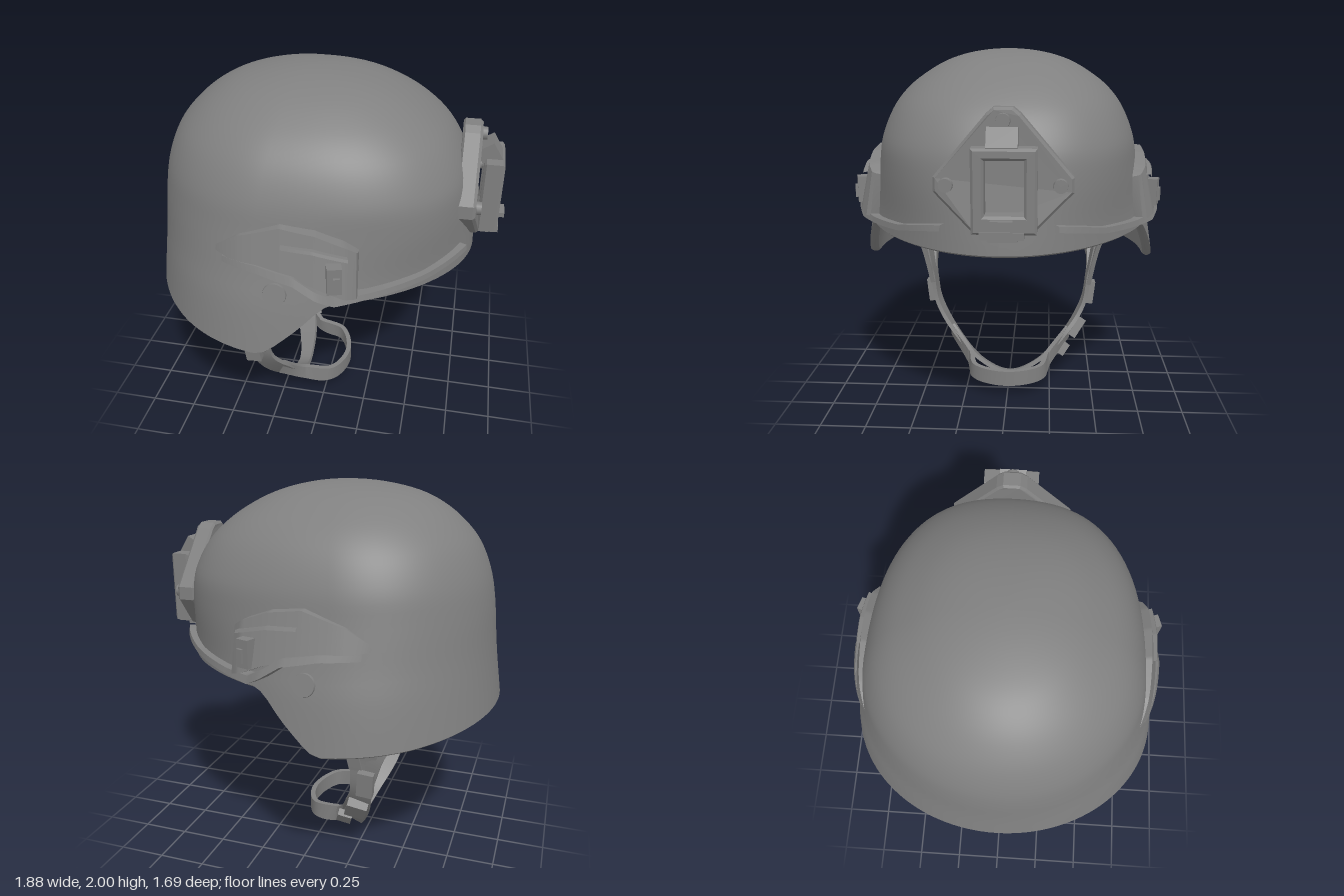
import * as THREE from 'three';
import { toCreasedNormals } from 'three/addons/utils/BufferGeometryUtils.js';

const grey = new THREE.MeshStandardMaterial({ color: 0x808080 });
grey.name = 'matte grey';
const V = (x, y, z) => new THREE.Vector3(x, y, z);

// Shell profile: height, back x, front x, half width, x of widest point
const profile = [
  [2.0, -0.1, -0.1, 0, -0.1], [1.98, -0.32, 0.13, 0.2, -0.11], [1.94, -0.48, 0.28, 0.33, -0.13],
  [1.88, -0.6, 0.41, 0.44, -0.15], [1.8, -0.7, 0.53, 0.545, -0.17], [1.7, -0.785, 0.635, 0.625, -0.19],
  [1.55, -0.85, 0.72, 0.69, -0.21], [1.4, -0.88, 0.755, 0.72, -0.22], [1.2, -0.9, 0.78, 0.765, -0.22],
  [1.07, -0.915, 0.79, 0.8, -0.22], [0.78, -0.955, 0.795, 0.85, -0.22]];

// Smooth interpolation of the profile; the root keeps the crown round
function section(y) {
  const t = p => Math.sqrt(Math.max(0, 2 - p));
  const u = t(y), n = profile.length - 1;
  let i = 0;
  while (i < n - 1 && u > t(profile[i + 1][0])) i++;
  const slope = (j, k) => {
    const a = Math.max(0, j - 1), b = Math.min(n, j + 1);
    return (profile[b][k] - profile[a][k]) / (t(profile[b][0]) - t(profile[a][0]));
  };
  const u0 = t(profile[i][0]), h = t(profile[i + 1][0]) - u0, s = (u - u0) / h;
  return [1, 2, 3, 4].map(k => {
    const p = profile[i][k], q = profile[i + 1][k];
    return p * (1 + 2 * s) * (1 - s) ** 2 + slope(i, k) * h * s * (1 - s) ** 2
      + q * s * s * (3 - 2 * s) + slope(i + 1, k) * h * s * s * (s - 1);
  });
}

// Front quarters are drawn in at the brim and full at the shoulder
function fullness(c, y) {
  const k = THREE.MathUtils.lerp(-0.03, 0.07, THREE.MathUtils.smoothstep(y, 1, 1.55));
  return c > 0 ? 1 + k * 4 * c * c * (1 - c * c) : 1;
}
// Point on the shell at an angle and height, pushed out by off or scaled
function shellPoint(angle, y, off = 0, scale = 1) {
  const [xb, xf, w, cx] = section(y), c = Math.cos(angle), s = Math.sin(angle);
  const a = c > 0 ? xf - cx : cx - xb, f = fullness(c, y) * scale;
  const n = V(c * w, 0, s * a).normalize();
  return V(cx + a * c * f + n.x * off, y, w * s * f + n.z * off);
}
function angleAt(x, y) {
  const [xb, xf, , cx] = section(y);
  const t = (x - cx) / (x > cx ? xf - cx : cx - xb);
  let c = THREE.MathUtils.clamp(t, -1, 1);
  for (let i = 0; i < 8; i++) c = THREE.MathUtils.clamp(t / fullness(c, y), -1, 1);
  return Math.acos(c);
}

// Linear lookup in a list of rows sorted by their first value
function lookup(rows, x) {
  let i = 0;
  while (i < rows.length - 2 && x > rows[i + 1][0]) i++;
  const s = THREE.MathUtils.clamp((x - rows[i][0]) / (rows[i + 1][0] - rows[i][0]), 0, 1);
  return rows[i].map((p, k) => p + (rows[i + 1][k] - p) * s);
}

// Sheet of nu by nv cells from a point function
function grid(fn, nu, nv, flip) {
  const pos = [], idx = [];
  for (let i = 0; i <= nu; i++) for (let j = 0; j <= nv; j++) pos.push(...fn(i / nu, j / nv).toArray());
  for (let i = 0; i < nu; i++) for (let j = 0; j < nv; j++) {
    const a = i * (nv + 1) + j, b = a + nv + 1;
    if (flip) idx.push(a, a + 1, b, b, a + 1, b + 1);
    else idx.push(a, b, a + 1, b, b + 1, a + 1);
  }
  const g = new THREE.BufferGeometry();
  g.setAttribute('position', new THREE.Float32BufferAttribute(pos, 3));
  g.setIndex(idx);
  g.computeVertexNormals();
  return g;
}

// Raised band on one side of the shell; columns are x, bottom, top, offset
function raisedBand(cols, side, topFactor) {
  const x0 = cols[0][0], x1 = cols[cols.length - 1][0];
  const fn = (u, v) => {
    const [x, lo, hi, off] = lookup(cols, x0 + (x1 - x0) * u);
    const k = Math.round(v * 3);
    const y = [lo, lo + 0.01, hi - 0.03 * (hi - lo), hi][k];
    const o = [-0.03, off, off * topFactor, -0.03][k];
    const p = shellPoint(angleAt(x, y), y, o);
    p.z *= side;
    return p;
  };
  return toCreasedNormals(grid(fn, 60, 3, side < 0), 0.6);
}

// Flat webbing along a path; rows are x, y, z and the half-width vector
function webbing(rows, steps = 40, thick = 0.012) {
  const path = new THREE.CatmullRomCurve3(rows.map(r => V(r[0], r[1], r[2])));
  const half = new THREE.CatmullRomCurve3(rows.map(r => V(r[3], r[4], r[5])));
  const fn = (u, v) => {
    const h = half.getPoint(u), n = path.getTangent(u).cross(h).normalize().multiplyScalar(thick);
    const k = Math.round(v * 4) % 4;
    return path.getPoint(u).addScaledVector(h, k === 0 || k === 3 ? 1 : -1).addScaledVector(n, k < 2 ? 1 : -1);
  };
  return toCreasedNormals(grid(fn, steps, 4, true), 0.7);
}
// Complete a half path across the middle, ending on z = 0
const across = rows => [...rows, ...rows.slice(0, -1).reverse().map(r => [r[0], r[1], -r[2], r[3], r[4], -r[5]])];

// Outline in (side, y) extruded forwards along x
function frontPlate(points, depth, x, hole) {
  const shape = new THREE.Shape(points.map(p => new THREE.Vector2(...p)));
  if (hole) shape.holes.push(new THREE.Path(hole.map(p => new THREE.Vector2(...p))));
  return new THREE.ExtrudeGeometry(shape, { depth, bevelSize: 0.012, bevelThickness: 0.012, bevelSegments: 1 })
    .rotateY(Math.PI / 2).translate(x, 0, 0);
}
const rect = (w, lo, hi) => [[-w, lo], [w, lo], [w, hi], [-w, hi]];

export function createModel() {
  const model = new THREE.Group();
  const add = (name, geometry, parent = model) => {
    const m = new THREE.Mesh(geometry, grey);
    m.name = name;
    parent.add(m);
    return m;
  };
  const box = (name, parent, size, at, rot = [0, 0, 0]) => {
    const m = add(name, new THREE.BoxGeometry(...size), parent);
    m.position.set(...at);
    m.rotation.set(...rot);
  };

  // Shell: outer skin, inner skin and rounded rim above the cut edge
  const edge = [[-0.95, 0.885], [-0.6, 0.84], [-0.22, 0.805], [-0.16, 0.82], [0, 0.955], [0.1, 1.055], [0.16, 1.075], [0.8, 1.068]];
  const rimY = a => lookup(edge, shellPoint(a, 1).x)[1];
  const rise = (lo, v) => 2 - (2 - lo) * (1 - v) ** 2;
  const turn = Math.PI * 2;
  add('shellOuter', grid((u, v) => shellPoint(u * turn, rise(rimY(u * turn), v)), 128, 40, true));
  add('shellInner', grid((u, v) => {
    const a = u * turn, lo = rimY(a), p = shellPoint(a, rise(lo, v), 0, 0.94);
    p.y = lo + (p.y - lo) * (1.95 - lo) / (2 - lo);
    return p;
  }, 128, 32, false));
  add('shellRim', grid((u, v) => {
    const a = u * turn, p = shellPoint(a, rimY(a), 0, 1 - 0.06 * v);
    p.y -= 0.014 * Math.sin(v * Math.PI);
    return p;
  }, 128, 5, false));

  // Side rails, ear bolts and straps on both sides
  const cover = [[-0.42, 1.29, 1.33, 0], [-0.3, 1.27, 1.41, 0.025], [-0.1, 1.25, 1.48, 0.05],
    [0.06, 1.2, 1.46, 0.07], [0.19, 1.14, 1.41, 0.085], [0.25, 1.12, 1.37, 0.06], [0.265, 1.12, 1.36, -0.01]];
  const strip = [[-0.38, 1.25, 1.29, 0.01], [-0.2, 1.245, 1.29, 0.05], [-0.03, 1.21, 1.26, 0.08],
    [0.07, 1.14, 1.19, 0.085], [0.15, 1.095, 1.145, 0.065], [0.3, 1.1, 1.14, 0.045], [0.55, 1.12, 1.16, 0.035], [0.72, 1.165, 1.205, 0.04]];
  const lip = [[-0.09, 1.375, 1.4, 0.062], [0.05, 1.37, 1.395, 0.08], [0.2, 1.335, 1.36, 0.09]];
  for (const side of [1, -1]) {
    const half = new THREE.Group();
    half.name = side > 0 ? 'leftSide' : 'rightSide';
    model.add(half);
    add('railCover', raisedBand(cover, side, 0.7), half);
    add('railStrip', raisedBand(strip, side, 0.9), half);
    add('railSlotLip', raisedBand(lip, side, 0.95), half);
    box('railClip', half, [0.07, 0.14, 0.07], [0.165, 1.26, side * 0.775], [0, side * 0.3, 0]);
    box('railClipCatch', half, [0.03, 0.07, 0.05], [0.18, 1.25, side * 0.795], [0, side * 0.3, 0]);

    const p = shellPoint(angleAt(-0.12, 1.13), 1.13);
    const bolt = add('earBolt', new THREE.CylinderGeometry(0.056, 0.06, 0.02, 28), half);
    bolt.position.set(p.x, p.y, p.z * side);
    bolt.quaternion.setFromUnitVectors(V(0, 1, 0), V(0.08, 0.22, side).normalize());

    add('frontStrap', webbing([[-0.17, 1.12, side * 0.65, 0.035, 0, 0], [-0.24, 0.85, side * 0.54, 0.035, 0, 0],
      [-0.29, 0.58, side * 0.485, 0.035, 0, 0]]), half);
    add('rearStrap', webbing([[-0.56, 0.93, side * 0.43, 0.03, 0.05, 0], [-0.47, 0.8, side * 0.48, 0.035, 0.03, 0],
      [-0.4, 0.67, side * 0.49, 0.035, 0.02, 0], [-0.35, 0.5, side * 0.47, 0.035, 0, 0]]), half);
    box('strapBuckle', half, [0.085, 0.14, 0.045], [-0.345, 0.51, side * 0.5], [side * 0.12, 0, 0.08]);
  }
  box('chinBuckle', model, [0.11, 0.13, 0.05], [-0.27, 0.3, -0.41], [-0.6, 0, 0.3]);
  box('chinBuckleTab', model, [0.08, 0.08, 0.04], [-0.18, 0.19, -0.33], [-0.6, 0, 0.3]);

  // Chin strap, chin cup and nape band
  add('chinStrap', webbing(across([[-0.33, 0.86, 0.53, 0.07, 0, 0], [-0.33, 0.66, 0.49, 0.07, 0, 0], [-0.31, 0.45, 0.455, 0.06, 0, 0],
    [-0.25, 0.26, 0.34, 0.07, 0.02, 0], [-0.19, 0.1, 0.18, 0.05, 0.02, 0], [-0.17, 0.025, 0, 0.035, 0.01, 0]]), 80));
  add('chinCup', webbing(across([[-0.23, 0.28, 0.36, 0.02, 0.04, 0], [-0.12, 0.15, 0.24, 0, 0.045, 0],
    [0.04, 0.128, 0.19, 0, 0.045, 0], [0.11, 0.12, 0, 0, 0.045, 0]]), 60, 0.014));
  add('napeBand', webbing(across([[-0.4, 0.76, 0.49, 0.02, 0.045, 0], [-0.53, 0.88, 0.44, 0, 0.05, 0],
    [-0.7, 0.915, 0.28, 0, 0.05, 0], [-0.76, 0.915, 0, 0, 0.05, 0]]), 60));

  // Front mount: bent diamond plate, hollow frame, bolts and lower latch
  const mount = new THREE.Group();
  mount.name = 'frontMount';
  mount.position.z = -0.02;
  model.add(mount);
  const plate = frontPlate([[-0.14, 1.2], [0.14, 1.2], [0.31, 1.37], [0.31, 1.43], [0.07, 1.71], [0.04, 1.735],
    [-0.04, 1.735], [-0.07, 1.71], [-0.31, 1.43], [-0.31, 1.37]], 0.075, 0.73);
  const pos = plate.attributes.position;
  for (let i = 0; i < pos.count; i++) {
    pos.setX(i, pos.getX(i) - 0.4 * pos.getZ(i) ** 2 - 0.15 * Math.max(0, pos.getY(i) - 1.45));
  }
  plate.computeVertexNormals();
  add('mountPlate', plate, mount);
  const frame = add('mountFrame', frontPlate(rect(0.135, 1.21, 1.57), 0.08, 0.81, rect(0.1, 1.27, 1.54)), mount);
  frame.position.z = -0.01;
  box('mountTopBlock', mount, [0.1, 0.1, 0.14], [0.82, 1.6, 0], [0, 0, 0.55]);
  for (const [x, y, z] of [[0.775, 1.69, 0], [0.78, 1.4, 0.26], [0.78, 1.4, -0.26]]) {
    const b = add('mountBolt', new THREE.CylinderGeometry(0.032, 0.036, 0.05, 16), mount);
    b.rotation.z = -Math.PI / 2;
    b.position.set(x, y, z);
  }
  box('mountLatch', mount, [0.12, 0.035, 0.2], [0.85, 1.195, 0]);
  box('mountLatchTab', mount, [0.09, 0.025, 0.1], [0.89, 1.255, 0]);
  box('mountFoot', mount, [0.09, 0.03, 0.14], [0.82, 1.17, 0]);
  return model;
}
